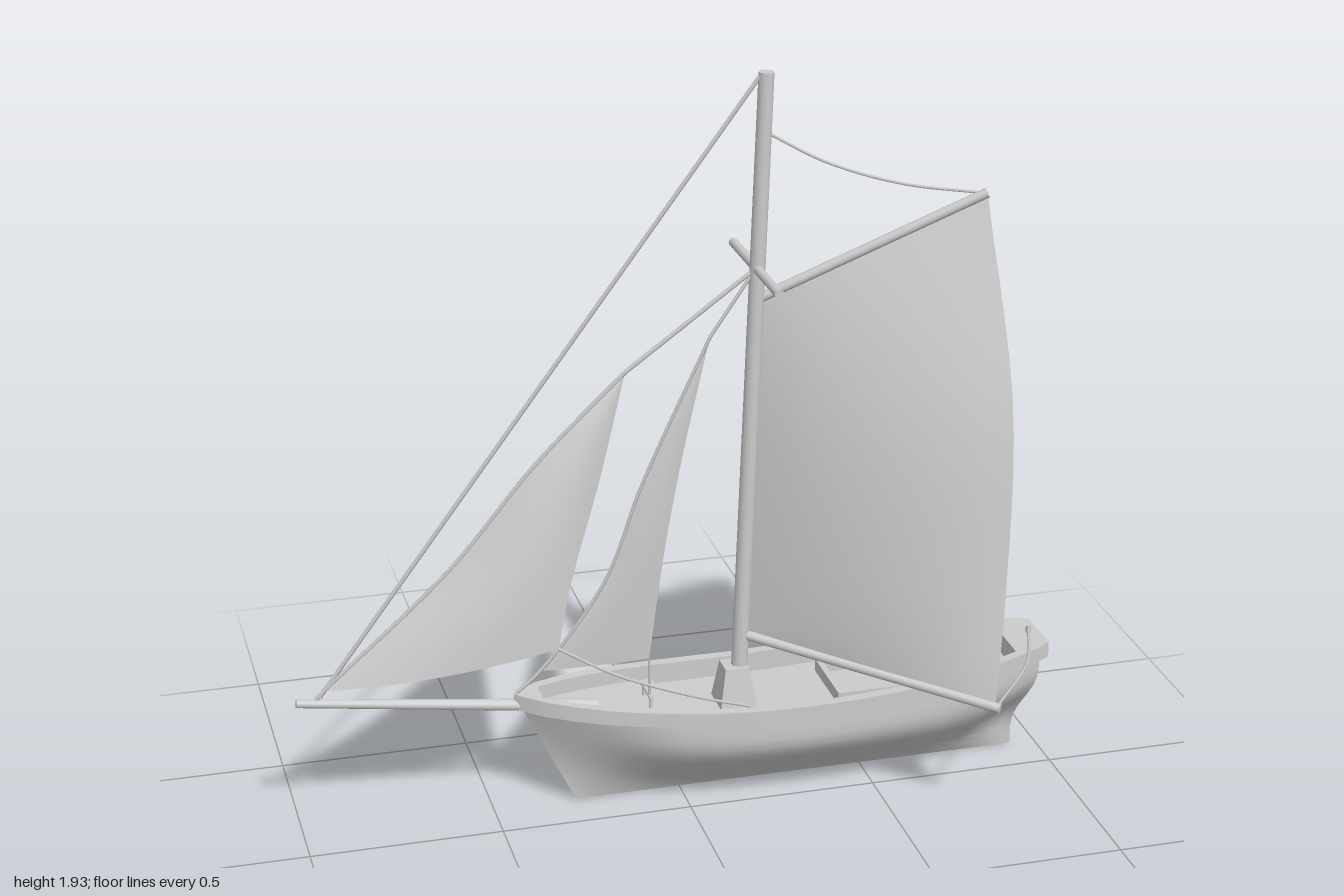
import * as THREE from 'three';
import { toCreasedNormals } from 'three/addons/utils/BufferGeometryUtils.js';

const MID = -0.12; // z of the boat's centreline
const V = (p) => new THREE.Vector3(...p);
const { clamp, lerp, smoothstep } = THREE.MathUtils;
const ramp = (x, from, to) => clamp((x - from) / (to - from), 0, 1);
const grey = new THREE.MeshStandardMaterial({ color: 0xcccccc });
const thin = new THREE.MeshStandardMaterial({ color: 0xcccccc, side: THREE.DoubleSide });

// Surface through rows of points
function loft(rows) {
  const n = rows[0].length, index = [];
  for (let i = 0; i < rows.length - 1; i++) {
    for (let j = 0; j < n - 1; j++) {
      const a = i * n + j, b = a + n;
      index.push(a, b, a + 1, b, b + 1, a + 1);
    }
  }
  const g = new THREE.BufferGeometry();
  g.setAttribute('position', new THREE.Float32BufferAttribute(rows.flat(2), 3));
  g.setIndex(index);
  g.computeVertexNormals();
  return g;
}

// Closed cross-section of the hull: outside, rail, bulwark and deck
function hullSection(x, sheer, hw, depth) {
  const keelX = x + 0.16 * ramp(x, 0.2, -0.44) - 0.045 * ramp(x, 0.6, 0.975);
  const railX = x + 0.025 * ramp(x, 0.9, 0.975);
  const half = [];
  for (let i = 0; i <= 10; i++) {
    const v = 0.087 * i;
    // V-shaped bow, full bilge amidships, tucked-up stern above a thin keel
    const full = Math.sin((Math.PI / 2) * Math.min(v / 0.7, 1)) ** 1.35;
    const fore = lerp(v, full, smoothstep(x, -0.44, 0));
    const f = lerp(fore, smoothstep(v, 0.18, 0.75), ramp(x, 0.78, 0.93));
    const slide = x > 0.5 ? smoothstep(v, 0.15, 0.8) : v;
    half.push([lerp(keelX, x, slide), v * sheer, 0.985 * hw * f + (i ? 0.002 : 0)]);
  }
  const inner = Math.max(hw - 0.028, hw * 0.3);
  half.push([railX, 0.87 * sheer, hw], [railX, sheer, hw]);
  half.push([railX, sheer, inner], [railX, sheer - depth, inner]);
  const right = half.map(([px, y, w]) => [px, y, MID - w]).reverse();
  const left = half.map(([px, y, w]) => [px, y, MID + w]);
  return [...right, ...left, right[0]];
}

function hullGeometry() {
  // Rail line as x, rail height, half width
  const rail = new THREE.CatmullRomCurve3([
    [-0.44, 0.33, 0.004], [-0.37, 0.325, 0.06], [-0.22, 0.311, 0.122],
    [-0.04, 0.297, 0.16], [0.18, 0.286, 0.181], [0.42, 0.29, 0.188],
    [0.68, 0.306, 0.174], [0.9, 0.325, 0.122], [0.975, 0.331, 0.075],
  ].map(V));
  // Depth of the deck below the rail: solid ends, foredeck, main deck
  const deckDepth = (i) => (i < 2 || i >= 14 ? 0 : i < 6 ? 0.04 : 0.055);
  const rows = [];
  for (let i = 0; i <= 16; i++) {
    const p = rail.getPoint(i / 16);
    for (const depth of new Set([deckDepth(i - 1), deckDepth(i)])) {
      rows.push(hullSection(p.x, p.y, p.z, depth));
    }
  }
  // Flat transom closing the stern
  rows.push(rows[rows.length - 1].map(([x, y]) => [x, y, MID]));
  return toCreasedNormals(loft(rows), 0.6);
}

export function createModel() {
  const model = new THREE.Group();

  function add(name, geometry, material = grey) {
    const mesh = new THREE.Mesh(geometry, material);
    mesh.name = name;
    model.add(mesh);
    return mesh;
  }

  // Round pole from one point to another
  function spar(name, from, to, r0, r1 = r0) {
    const a = V(from), b = V(to), dir = b.clone().sub(a);
    const mesh = add(name, new THREE.CylinderGeometry(r1, r0, dir.length(), 12));
    mesh.position.copy(a).add(b).multiplyScalar(0.5);
    mesh.quaternion.setFromUnitVectors(new THREE.Vector3(0, 1, 0), dir.normalize());
  }

  function rope(name, points, r = 0.004) {
    const curve = new THREE.CatmullRomCurve3(points.map(V));
    add(name, new THREE.TubeGeometry(curve, 8 * (points.length - 1), r, 5));
  }

  function box(name, w, h, d, x, y, z) {
    add(name, new THREE.BoxGeometry(w, h, d)).position.set(x, y, z);
  }

  // Sail between a front and a rear edge; its belly swells toward +z,
  // and footPhase says how much of that swell reaches the foot
  function sail(name, luff, leech, belly, footPhase) {
    const front = new THREE.CatmullRomCurve3(luff.map(V));
    const back = new THREE.CatmullRomCurve3(leech.map(V));
    const rows = [];
    for (let i = 0; i <= 10; i++) {
      const u = i / 10, row = [];
      for (let j = 0; j <= 16; j++) {
        const v = j / 16;
        const p = front.getPoint(v).lerp(back.getPoint(v), u);
        p.z += belly * 4 * u * (1 - u) * Math.sin(Math.PI * lerp(footPhase, 1, v));
        row.push(p.toArray());
      }
      rows.push(row);
    }
    add(name, loft(rows), thin);
  }

  add('hull', hullGeometry(), thin);

  // Hatch coaming on the deck
  for (const s of [-1, 1]) {
    box('hatchSide', 0.3, 0.034, 0.016, 0.555, 0.254, MID + s * 0.096);
    box('hatchEnd', 0.016, 0.034, 0.192, 0.555 + s * 0.142, 0.254, MID);
  }

  // Mast with its tapered step and crosstree
  const stepShape = new THREE.CylinderGeometry(0.045, 0.07, 0.11, 4).rotateY(Math.PI / 4);
  add('mastStep', toCreasedNormals(stepShape, 0.5)).position.set(0.15, 0.285, MID);
  spar('mast', [0.16, 0.24, MID], [0.222, 1.93, MID], 0.022, 0.02);
  spar('crosstree', [0.2, 1.43, -0.33], [0.2, 1.43, 0.085], 0.012);

  // Bowsprit, gaff and boom
  spar('bowsprit', [-0.22, 0.268, MID], [-1, 0.375, MID], 0.017, 0.011);
  spar('gaff', [0.21, 1.35, MID], [0.755, 1.62, 0.01], 0.013);
  spar('boom', [0.17, 0.425, MID], [0.73, 0.345, 0.31], 0.013);

  // Sheet bar across the foredeck, on two short posts
  spar('sheetBar', [-0.085, 0.288, -0.175], [-0.085, 0.288, -0.07], 0.005);
  for (const z of [-0.16, -0.085]) spar('sheetBarPost', [-0.085, 0.25, z], [-0.085, 0.288, z], 0.005);

  // Sails, each edge from foot to head
  const jibHead = [-0.14, 1.19, -0.11], staysailHead = [0.08, 1.26, -0.115];
  const jibLuff = [[-0.93, 0.4, MID], [-0.6, 0.7, -0.112], [-0.37, 0.97, -0.108], jibHead];
  const staysailLuff = [[-0.37, 0.385, MID], [-0.2, 0.62, -0.11], [-0.1, 0.88, -0.108], staysailHead];
  sail('mainsail',
    [[0.18, 0.425, MID], [0.215, 1.36, MID]],
    [[0.72, 0.35, 0.3], [0.757, 0.62, 0.245], [0.785, 1.1, 0.17], [0.755, 1.62, 0.01]], 0.05, 0.05);
  sail('jib', jibLuff,
    [[-0.34, 0.49, -0.025], [-0.3, 0.66, -0.045], [-0.215, 0.92, -0.08], jibHead], 0.04, 0.4);
  sail('staysail', staysailLuff,
    [[-0.085, 0.395, -0.1], [-0.045, 0.68, -0.1], [0, 0.92, -0.105], staysailHead], 0.012, 0.12);

  // Stays, taut above the heads of the sails
  const hounds = [0.2, 1.43, MID];
  rope('topStay', [[-0.94, 0.385, MID], [0.205, 1.92, MID]], 0.006);
  rope('jibStay', [[-0.95, 0.38, MID], ...jibLuff], 0.006);
  rope('jibStayTop', [jibHead, hounds], 0.006);
  rope('staysailStay', [[-0.435, 0.33, MID], ...staysailLuff], 0.005);
  rope('staysailStayTop', [staysailHead, hounds], 0.005);
  rope('gaffHalyard', [[0.22, 1.78, MID], [0.37, 1.7, -0.085], [0.55, 1.645, -0.04], [0.745, 1.62, 0.008]]);

  // Sheets that hold the sails
  rope('jibSheet', [[-0.34, 0.49, -0.025], [-0.2, 0.42, 0.02], [0, 0.34, 0.033], [0.15, 0.295, 0.04]]);
  rope('staysailSheet', [[-0.085, 0.395, -0.1], [-0.085, 0.285, -0.1]]);
  rope('mainSheet', [[0.725, 0.345, 0.3], [0.89, 0.345, 0.08], [0.97, 0.345, MID]]);
  spar('sheetPost', [0.97, 0.31, MID], [0.97, 0.35, MID], 0.007);

  return model;
}
